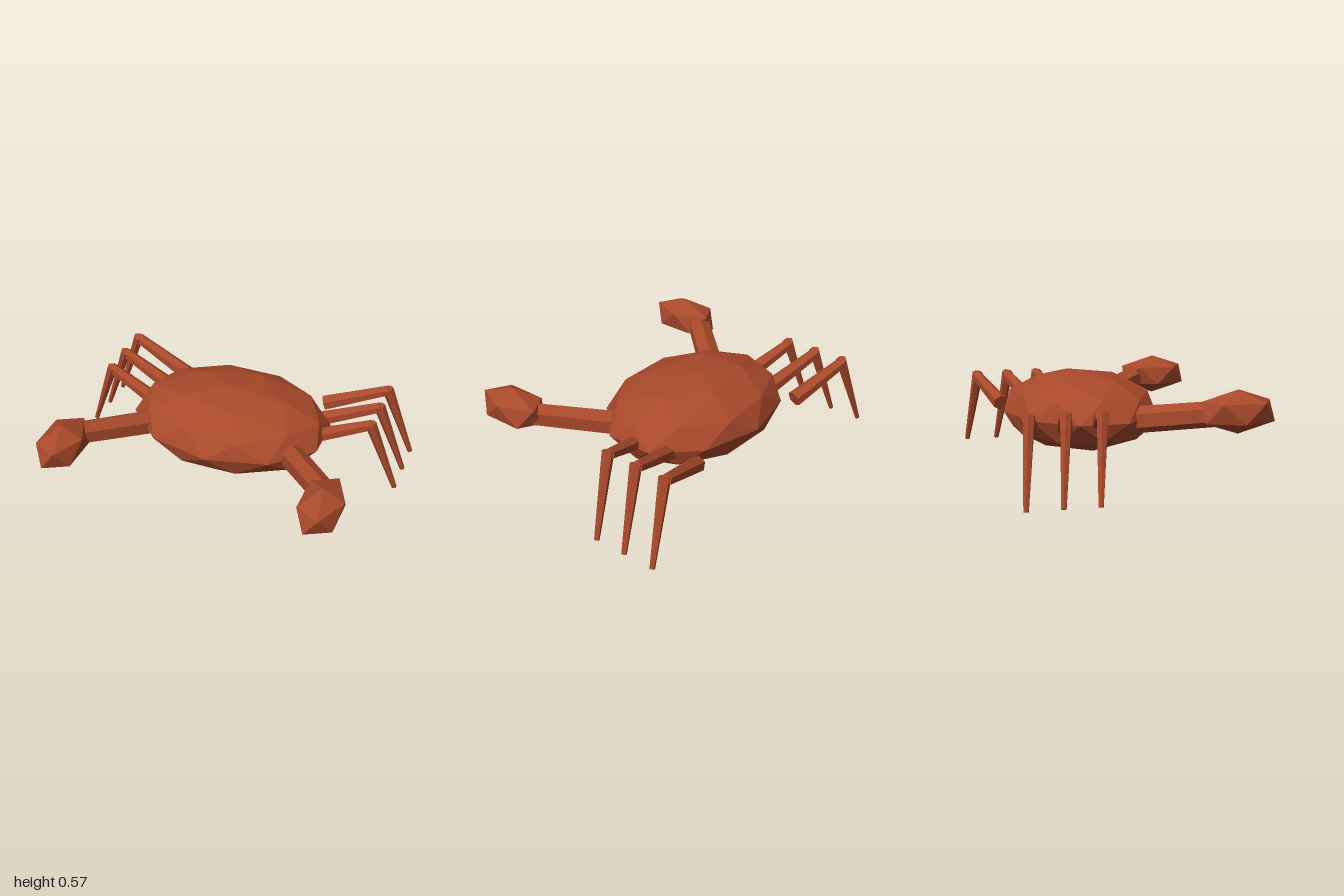
import * as THREE from 'three';

const shell = new THREE.MeshStandardMaterial({ color: 0xa8492b, flatShading: true });
shell.name = 'rust shell';

// Faceted ellipsoid with one vertex pointing straight up
function pebble(name, detail, radii, position) {
  const geometry = new THREE.IcosahedronGeometry(1, detail);
  geometry.rotateX(-Math.atan((1 + Math.sqrt(5)) / 2));
  geometry.rotateY(Math.PI / 2);
  geometry.scale(...radii);
  geometry.computeVertexNormals();
  const mesh = new THREE.Mesh(geometry, shell);
  mesh.name = name;
  mesh.position.set(...position);
  return mesh;
}

// Six-sided tapered limb between two points, one edge facing up
function limb(name, from, to, startRadius, endRadius) {
  const a = new THREE.Vector3(...from);
  const b = new THREE.Vector3(...to);
  const geometry = new THREE.CylinderGeometry(endRadius, startRadius, a.distanceTo(b), 6);
  geometry.rotateX(Math.PI / 2);
  const mesh = new THREE.Mesh(geometry, shell);
  mesh.name = name;
  mesh.position.copy(a).add(b).multiplyScalar(0.5);
  mesh.lookAt(b);
  return mesh;
}

export function createModel() {
  const crab = new THREE.Group();
  crab.name = 'crab';

  crab.add(pebble('body', 1, [0.6, 0.225, 0.447], [0, 0.345, -0.175]));

  for (const [side, s] of [['left', 1], ['right', -1]]) {
    // Claw arm and rounded pincer
    crab.add(limb(side + 'Arm', [s * 0.455, 0.345, 0.06], [s * 0.75, 0.41, 0.39], 0.075, 0.07));
    crab.add(pebble(side + 'Claw', 0, [0.14, 0.12, 0.23], [s * 0.766, 0.42, 0.508]));

    // Three bent walking legs
    for (let i = 0; i < 3; i++) {
      const z = -0.192 * i;
      const leg = new THREE.Group();
      leg.name = side + 'Leg' + (i + 1);
      const knee = [s * 0.825, 0.445, -0.265 + z];
      leg.add(limb('upperLeg', [s * 0.455, 0.32, -0.175 + z], knee, 0.048, 0.033));
      leg.add(limb('lowerLeg', [s * 0.82, 0.46, -0.255 + z], [s * 0.986, 0.006, -0.308 + z], 0.034, 0.015));
      crab.add(leg);
    }
  }
  return crab;
}
